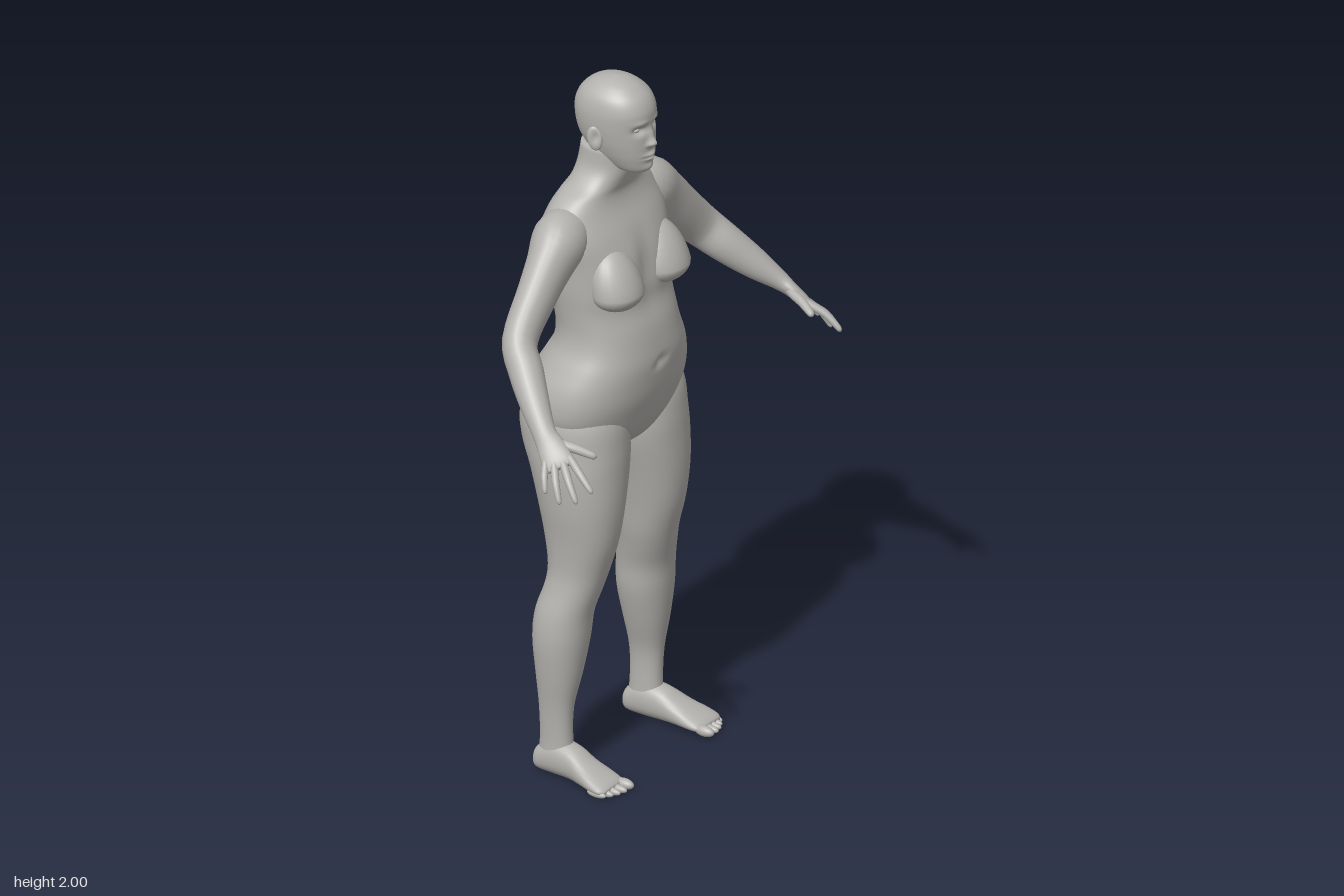
import * as THREE from 'three';

const V = (x, y, z) => new THREE.Vector3(x, y, z);

// Smooth surface through rows [x, y, z, halfU, halfV]; rings lie across `axis` (or the path), v follows `ref`
function loft(rows, { seg = 24, sub = 4, power = 2, ref = V(0, 0, 1), axis = null } = {}) {
  const spline = new THREE.CubicInterpolant(rows.map((_, i) => i), rows.flat(), 5);
  const n = (rows.length - 1) * sub;
  const rings = Array.from({ length: n + 1 }, (_, i) => Array.from(spline.evaluate(i / sub)));
  const centre = i => V(...rings[Math.min(n, Math.max(0, i))].slice(0, 3));
  const bulge = c => Math.sign(c) * Math.abs(c) ** (2 / power);
  const pos = [], index = [];
  for (let i = 0; i <= n; i++) {
    const t = axis ? axis.clone() : centre(i + 1).sub(centre(i - 1)).normalize();
    const v = ref.clone().addScaledVector(t, -ref.dot(t)).normalize();
    const u = t.clone().cross(v);
    for (let j = 0; j < seg; j++) {
      const a = (j / seg) * Math.PI * 2;
      const p = centre(i)
        .addScaledVector(u, Math.max(rings[i][3], 0.001) * bulge(Math.cos(a)))
        .addScaledVector(v, Math.max(rings[i][4], 0.001) * bulge(Math.sin(a)));
      pos.push(p.x, p.y, p.z);
      if (i < n) {
        const k = (j + 1) % seg, q = i * seg, r = q + seg;
        index.push(q + j, r + j, q + k, q + k, r + j, r + k);
      }
    }
  }
  // End caps
  pos.push(...centre(0).toArray(), ...centre(n).toArray());
  const c0 = (n + 1) * seg;
  for (let j = 0; j < seg; j++) {
    const k = (j + 1) % seg;
    index.push(c0, j, k, c0 + 1, n * seg + k, n * seg + j);
  }
  const g = new THREE.BufferGeometry();
  g.setAttribute('position', new THREE.Float32BufferAttribute(pos, 3));
  g.setIndex(index);
  g.computeVertexNormals();
  return g;
}

// Upright loft from rows [y, xMin, xMax, zBack, zFront]
const upright = (rows, options) => loft(
  rows.map(([y, x0, x1, z0, z1]) => [(x0 + x1) / 2, y, (z0 + z1) / 2, (x1 - x0) / 2, (z1 - z0) / 2]),
  { axis: V(0, 1, 0), ...options });

// Soft pushes: [x, y, z, reachX, reachY, reachZ, pushX, pushY, pushZ]
function sculpt(g, pushes) {
  const p = g.attributes.position, q = V(), d = V();
  for (let i = 0; i < p.count; i++) {
    q.fromBufferAttribute(p, i);
    d.set(0, 0, 0);
    for (const [x, y, z, a, b, c, px, py, pz] of pushes) {
      const w = Math.exp(-(((q.x - x) / a) ** 2) - ((q.y - y) / b) ** 2 - ((q.z - z) / c) ** 2);
      d.addScaledVector(V(px, py, pz), w);
    }
    q.add(d);
    p.setXYZ(i, q.x, q.y, q.z);
  }
  g.computeVertexNormals();
  return g;
}

// The same pushes on both sides
const both = list => list.flatMap(b => [b, [-b[0], ...b.slice(1, 6), -b[6], b[7], b[8]]]);

const ellipsoid = (c, r) => new THREE.SphereGeometry(1, 24, 18).scale(...r).translate(...c);

function mirrored(g) {
  const m = g.clone();
  const p = m.attributes.position, ix = m.index.array;
  for (let i = 0; i < p.count; i++) p.setX(i, -p.getX(i));
  for (let i = 0; i < ix.length; i += 3) [ix[i], ix[i + 1]] = [ix[i + 1], ix[i]];
  m.computeVertexNormals();
  return m;
}

export function createModel() {
  const model = new THREE.Group();
  model.name = 'figure';
  const skin = new THREE.MeshStandardMaterial({ color: 0xb4b2ae });
  skin.name = 'clay grey';
  const add = (name, g) => {
    const mesh = new THREE.Mesh(g, skin);
    mesh.name = name;
    model.add(mesh);
  };
  const pair = (name, g) => {
    add(name + 'Left', g);
    add(name + 'Right', mirrored(g));
  };

  // Torso and neck: [y, half width, back, front]
  const torso = [
    [0.925, 0.04, -0.13, -0.03], [0.95, 0.12, -0.19, 0.015], [1.0, 0.22, -0.235, 0.045],
    [1.05, 0.25, -0.255, 0.062], [1.1, 0.255, -0.258, 0.076], [1.15, 0.245, -0.247, 0.083],
    [1.2, 0.222, -0.222, 0.086], [1.25, 0.197, -0.197, 0.08], [1.3, 0.187, -0.192, 0.07],
    [1.36, 0.19, -0.2, 0.052], [1.42, 0.197, -0.22, 0.05], [1.5, 0.203, -0.23, 0.038],
    [1.57, 0.215, -0.224, 0.01], [1.63, 0.195, -0.205, -0.02], [1.67, 0.155, -0.187, -0.03],
    [1.7, 0.108, -0.173, -0.022], [1.74, 0.077, -0.165, -0.012], [1.8, 0.07, -0.155, -0.01],
  ].map(([y, w, b, f]) => [y, -w, w, b, f]);
  add('torso', sculpt(upright(torso, { seg: 72, sub: 5, power: 2.3 }), [
    [0, 1.03, -0.26, 0.022, 0.09, 0.08, 0, 0, 0.035],   // cleft
    [0, 1.45, -0.23, 0.025, 0.2, 0.06, 0, 0, 0.012],    // spine
    [0, 1.19, 0.085, 0.014, 0.012, 0.03, 0, 0, -0.012], // navel
    [0, 1.47, 0.04, 0.03, 0.08, 0.05, 0, 0, -0.012],    // breastbone
    ...both([
      [0.11, 1.05, -0.24, 0.08, 0.08, 0.08, 0, 0, -0.016],
      [0.11, 1.52, -0.21, 0.06, 0.07, 0.06, 0, 0, -0.008],
    ]),
  ]));

  // Chest: full below, sloping back into the torso above
  const chest = ellipsoid([0, 0, 0], [0.08, 0.052, 0.068]);
  const cp = chest.attributes.position;
  for (let i = 0; i < cp.count; i++) {
    const y = cp.getY(i);
    if (y > 0) cp.setXYZ(i, cp.getX(i), y * 2.3, cp.getZ(i) - y * 0.6);
  }
  chest.translate(0.105, 1.425, 0.019).computeVertexNormals();
  pair('chest', chest);

  // Head with sculpted face: [y, half width, back, front]
  const head = [
    [1.735, 0.015, -0.02, 0.025], [1.748, 0.042, -0.07, 0.042], [1.78, 0.062, -0.12, 0.05],
    [1.81, 0.074, -0.15, 0.052], [1.84, 0.082, -0.167, 0.052], [1.88, 0.088, -0.175, 0.051],
    [1.92, 0.088, -0.174, 0.051], [1.955, 0.078, -0.158, 0.036], [1.98, 0.056, -0.13, 0.007],
    [1.994, 0.03, -0.095, -0.025], [2.0, 0.002, -0.062, -0.058],
  ].map(([y, w, b, f]) => [y, -w, w, b, f]);
  add('head', sculpt(upright(head, { seg: 96, sub: 9, power: 2.15 }), [
    [0, 1.833, 0.055, 0.011, 0.012, 0.03, 0, -0.002, 0.018], // nose tip
    [0, 1.856, 0.055, 0.009, 0.02, 0.03, 0, 0, 0.008],       // nose bridge
    [0, 1.797, 0.052, 0.02, 0.006, 0.03, 0, 0, 0.009],       // upper lip
    [0, 1.785, 0.052, 0.017, 0.006, 0.03, 0, 0, 0.008],      // lower lip
    [0, 1.791, 0.052, 0.024, 0.002, 0.03, 0, 0, -0.006],     // mouth
    [0, 1.757, 0.045, 0.02, 0.012, 0.03, 0, 0, 0.007],       // chin
    ...both([
      [0.034, 1.873, 0.045, 0.019, 0.011, 0.03, 0, 0, -0.014], // eye socket
      [0.034, 1.895, 0.045, 0.022, 0.007, 0.03, 0, 0, 0.004],  // brow
      [0.013, 1.829, 0.052, 0.006, 0.006, 0.03, 0, 0, 0.007],  // nostril
    ]),
  ]));
  pair('eye', ellipsoid([0.033, 1.873, 0.024], [0.013, 0.008, 0.012]));
  pair('ear', sculpt(
    ellipsoid([0, 0, 0], [0.01, 0.035, 0.021]).rotateX(-0.15).rotateY(-0.3).translate(0.091, 1.845, -0.066),
    [[0.1, 1.85, -0.06, 0.02, 0.018, 0.01, -0.009, 0, 0]]));

  // Legs: [y, inner, outer, back, front]
  pair('leg', upright([
    [0.04, 0.168, 0.243, -0.163, -0.05], [0.1, 0.171, 0.24, -0.155, -0.06], [0.2, 0.168, 0.246, -0.156, -0.058],
    [0.3, 0.14, 0.26, -0.166, -0.04], [0.4, 0.115, 0.27, -0.176, -0.026], [0.48, 0.107, 0.264, -0.172, -0.018],
    [0.55, 0.091, 0.246, -0.155, 0.0], [0.61, 0.077, 0.237, -0.151, 0.016], [0.7, 0.062, 0.242, -0.165, 0.04],
    [0.8, 0.04, 0.255, -0.186, 0.051], [0.9, 0.013, 0.262, -0.215, 0.052], [0.97, 0.004, 0.259, -0.244, 0.05],
    [1.05, 0.01, 0.252, -0.25, 0.04], [1.13, 0.04, 0.22, -0.2, 0.0],
  ], { seg: 32, power: 2.15 }));

  // Feet, heel to ball, then toes
  pair('foot', loft([
    [0.205, 0.032, -0.172, 0.012, 0.014], [0.205, 0.038, -0.158, 0.034, 0.035], [0.205, 0.05, -0.11, 0.04, 0.05],
    [0.208, 0.048, -0.05, 0.042, 0.047], [0.215, 0.035, 0.0, 0.048, 0.034], [0.22, 0.026, 0.04, 0.055, 0.024],
    [0.223, 0.019, 0.075, 0.054, 0.016], [0.223, 0.017, 0.09, 0.04, 0.008],
  ], { axis: V(0, 0, 1), ref: V(0, 1, 0), power: 2.3 }));
  [[0.184, 0.095, 0.015], [0.21, 0.092, 0.011], [0.231, 0.086, 0.0105], [0.25, 0.076, 0.01], [0.267, 0.064, 0.01]]
    .forEach(([x, z, r], i) => pair('toe' + (i + 1), ellipsoid([x, r + 0.001, z], [r, r, 0.03])));

  // Arms, shoulder to palm: [x, y, z, thickness, breadth]
  const across = V(-0.5, 0.2, 0.8);
  pair('arm', loft([
    [0.12, 1.6, -0.11, 0.055, 0.055], [0.19, 1.575, -0.105, 0.084, 0.075], [0.25, 1.525, -0.1, 0.079, 0.062],
    [0.31, 1.47, -0.095, 0.07, 0.054], [0.41, 1.375, -0.082, 0.058, 0.047], [0.455, 1.315, -0.03, 0.052, 0.047],
    [0.5, 1.255, 0.03, 0.042, 0.04], [0.537, 1.205, 0.085, 0.027, 0.032], [0.55, 1.18, 0.115, 0.02, 0.037],
    [0.565, 1.15, 0.148, 0.015, 0.042], [0.573, 1.137, 0.163, 0.008, 0.035],
  ], { ref: across }));

  // Fingers: knuckle, tip, radius, lift of the middle joint
  const fingers = {
    thumb: [[0.532, 1.185, 0.125], [0.495, 1.155, 0.225], 0.013, 0.004],
    indexFinger: [[0.543, 1.158, 0.172], [0.57, 1.09, 0.264], 0.0105, 0.008],
    middleFinger: [[0.562, 1.147, 0.165], [0.605, 1.066, 0.238], 0.0105, 0.009],
    ringFinger: [[0.578, 1.142, 0.147], [0.623, 1.06, 0.196], 0.01, 0.008],
    littleFinger: [[0.587, 1.142, 0.124], [0.626, 1.08, 0.152], 0.009, 0.006],
  };
  for (const [name, [a, b, r, lift]] of Object.entries(fingers)) {
    const at = (t, k, h) => {
      const p = V(...a).lerp(V(...b), t);
      return [p.x + lift * h * 0.7, p.y + lift * h, p.z, r * k, r * k];
    };
    pair(name, loft([at(-0.15, 0.9, 0), at(0.2, 1.05, 0.5), at(0.5, 1, 1), at(0.8, 0.85, 0.6),
      at(0.95, 0.65, 0.2), at(1, 0.15, 0)], { ref: across, seg: 12, sub: 3 }));
  }
  return model;
}
